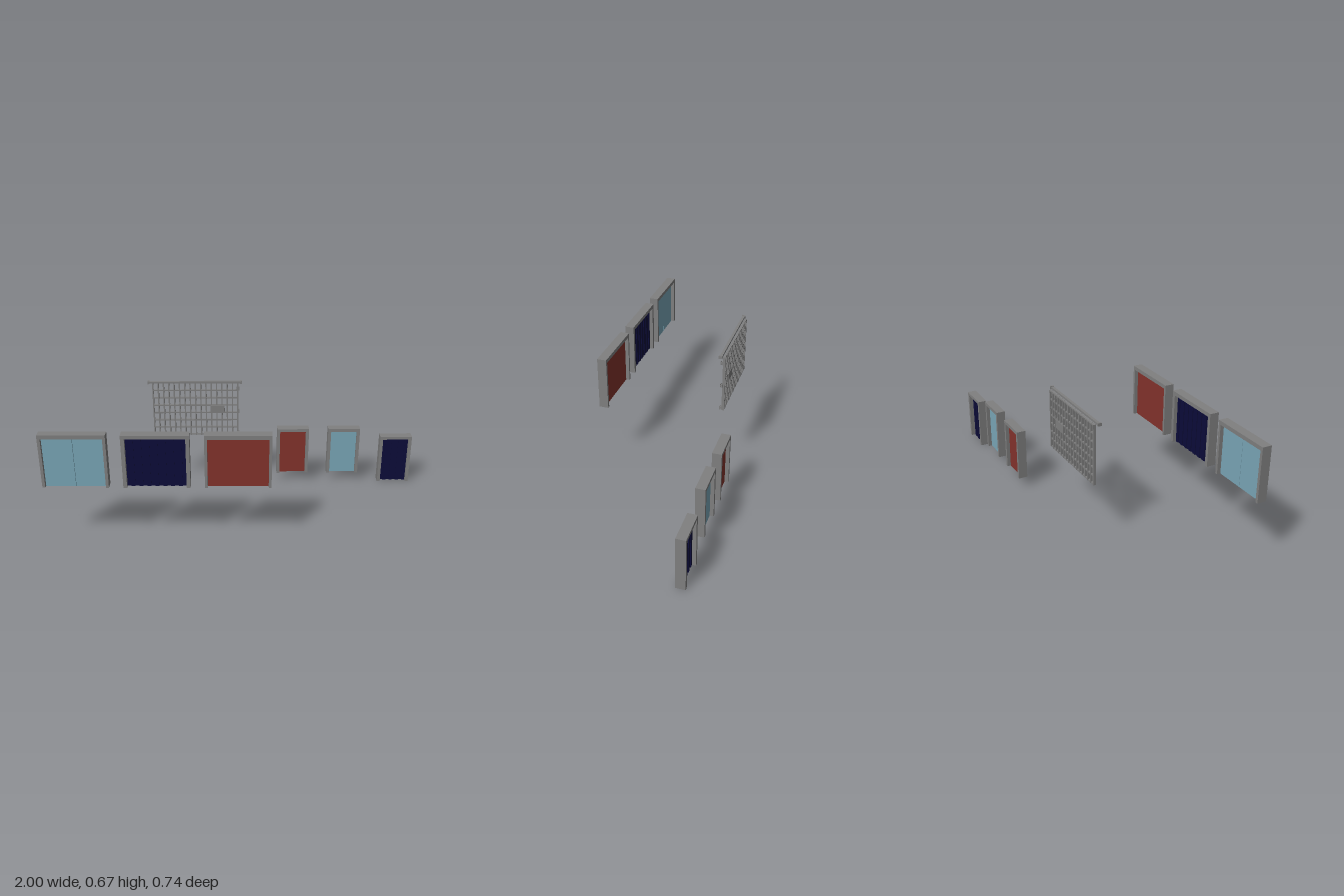
import * as THREE from 'three';

const material = (name, color) => new THREE.MeshStandardMaterial({ name, color });

export function createModel() {
  const grey = material('frame grey', 0x808080);
  const glass = material('glass blue', 0x7aa7b8);
  const navy = material('navy', 0x0c0c3a);
  const red = material('red', 0x84332c);
  const model = new THREE.Group();

  // Box given by its limits in x, y and z
  function box(parent, name, mat, x0, x1, y0, y1, z0, z1) {
    const mesh = new THREE.Mesh(new THREE.BoxGeometry(x1 - x0, y1 - y0, z1 - z0), mat);
    mesh.position.set((x0 + x1) / 2, (y0 + y1) / 2, (z0 + z1) / 2);
    mesh.name = name;
    parent.add(mesh);
    return mesh;
  }

  // Door: two posts, a lintel and a recessed leaf, glass pair or strip curtain
  function door(name, x, y, z, w, h, mat, kind, turn = 0, post = 0.017, top = 0.018) {
    const g = new THREE.Group();
    g.name = name;
    g.position.set(x, y, z);
    g.rotation.y = turn;
    const d = 0.025, in0 = -w / 2 + post, in1 = w / 2 - post, inTop = h - top;
    box(g, 'leftPost', grey, in1, w / 2, 0, inTop, -d, d);
    box(g, 'rightPost', grey, -w / 2, in0, 0, inTop, -d, d);
    box(g, 'lintel', grey, -w / 2, w / 2, inTop, h, -d, d);
    if (kind === 'strips') {
      const n = Math.round((in1 - in0) / 0.02), s = (in1 - in0) / n;
      for (let i = 0; i < n; i++) {
        const zs = i % 2 ? 0.002 : -0.002;
        box(g, 'curtainStrip', mat, in0 + i * s, in0 + (i + 1) * s, 0, inTop, zs - 0.003, zs + 0.003);
      }
    } else if (kind === 'pair') {
      box(g, 'rightLeaf', mat, in0, -0.001, 0, inTop, -0.005, 0.005);
      box(g, 'leftLeaf', mat, 0.001, in1, 0, inTop, -0.005, 0.005);
    } else {
      box(g, 'leaf', mat, in0, in1, 0, inTop, -0.005, 0.005);
    }
    model.add(g);
  }

  // Wide doors at the front, in a slightly turned row
  const turn = -0.011;
  door('wideGlassDoor', -0.833, 0.338, 0.336, 0.334, 0.289, glass, 'pair', turn, 0.015, 0.021);
  door('wideCurtainDoor', -0.425, 0.338, 0.341, 0.337, 0.289, navy, 'strips', turn, 0.019, 0.021);
  door('wideSolidDoor', -0.017, 0.338, 0.3455, 0.334, 0.289, red, 'solid', turn, 0.014, 0.021);

  // Narrow doors at the back
  door('narrowSolidDoor', 0.305, 0.057, -0.347, 0.184, 0.285, red, 'solid');
  door('narrowGlassDoor', 0.601, 0.057, -0.347, 0.184, 0.285, glass, 'solid');
  door('narrowCurtainDoor', 0.907, 0, -0.346, 0.184, 0.291, navy, 'strips');

  // Barred gate
  const gate = new THREE.Group();
  gate.name = 'gate';
  model.add(gate);
  const gx0 = -0.492, gx1 = -0.013, gy0 = 0.337, gy1 = 0.657;
  const columns = 16, rows = 7, bar = 0.007;
  for (let i = 0; i <= columns; i++) {
    const x = gx0 + (gx1 - gx0 - bar) * i / columns;
    box(gate, 'uprightBar', grey, x, x + bar, gy0, gy1, -0.276, -0.262);
  }
  for (let j = 0; j <= rows; j++) {
    const y = gy0 + (gy1 - gy0 - bar) * j / rows;
    box(gate, 'crossBar', grey, gx0 + 0.001, gx1 - 0.001, y, y + bar, -0.274, -0.264);
  }
  box(gate, 'lockPlate', grey, -0.17, -0.09, 0.475, 0.52, -0.277, -0.261);

  // Sliding rail with end caps
  box(gate, 'rail', grey, -0.51, 0, 0.657, 0.668, -0.26, -0.246);
  for (const x of [-0.509, 0.001]) {
    box(gate, 'railCap', grey, x - 0.005, x + 0.005, 0.655, 0.671, -0.263, -0.243);
  }

  // Hinges along the left edge
  for (const y of [0.353, 0.488, 0.623]) {
    box(gate, 'hingeArm', grey, -0.02, -0.01, y - 0.005, y + 0.005, -0.262, -0.253);
    box(gate, 'hingePlate', grey, -0.022, -0.008, y - 0.01, y + 0.01, -0.263, -0.259);
    box(gate, 'hingeTip', grey, -0.022, -0.008, y - 0.01, y + 0.01, -0.255, -0.251);
  }
  return model;
}
